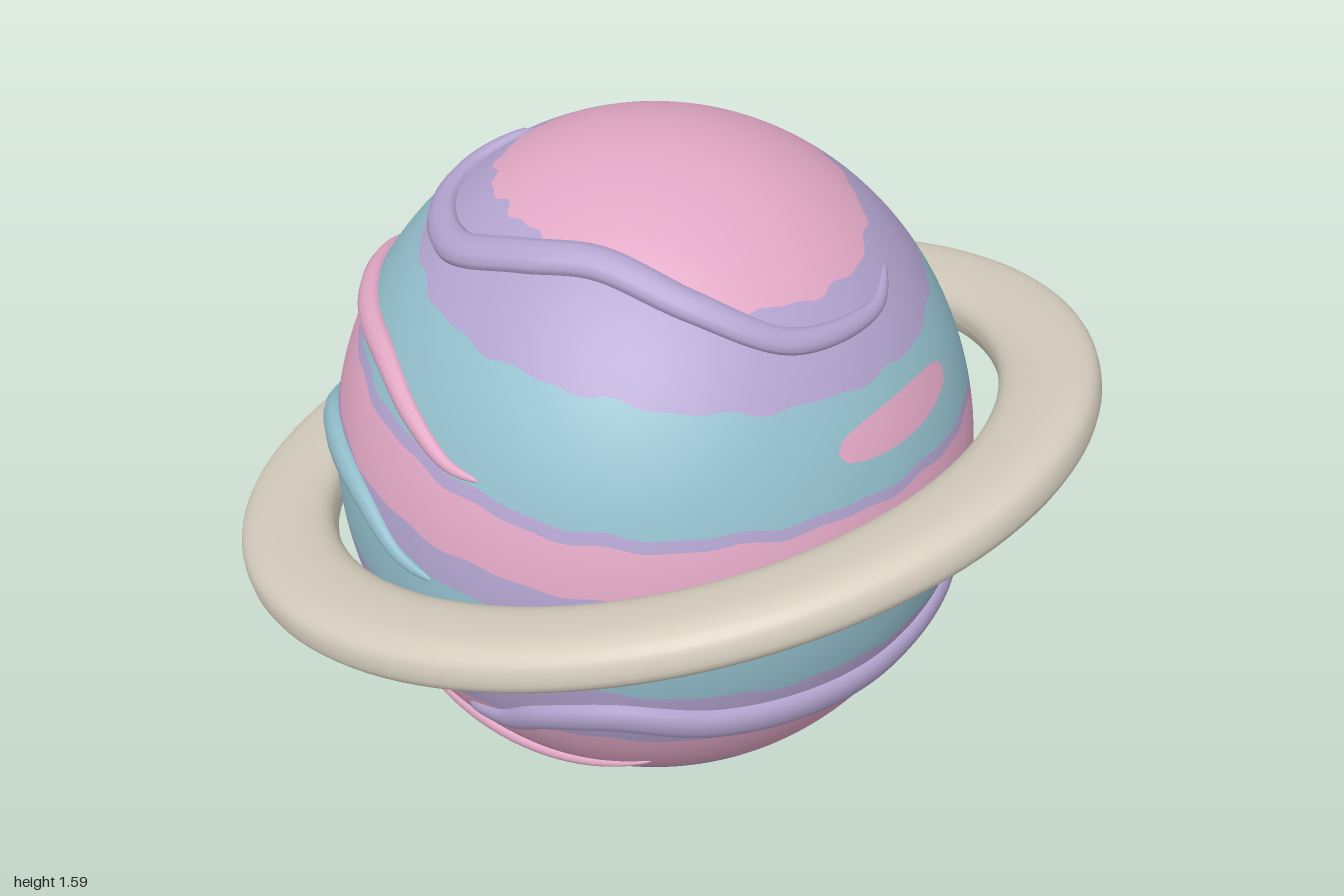
import * as THREE from 'three';

const mat = (name, color) => {
  const m = new THREE.MeshStandardMaterial({ color });
  m.name = name;
  return m;
};
const pink = mat('pink', 0xe2a8c5);
const purple = mat('purple', 0xb2a3ce);
const teal = mat('teal', 0x93bfcc);
const beige = mat('beige', 0xd7cfc0);

// Globe: a slightly tall ellipsoid
const CX = -0.02, CY = 0.8, RH = 0.745, RV = 0.797;
const rad = THREE.MathUtils.degToRad;
const latOf = (y) => Math.asin(THREE.MathUtils.clamp((y - CY) / RV, -1, 1));

// Point and normal on the globe; azimuth 0 is the front, 90 the +x side
function onGlobe(az, lat, lift = 0) {
  const c = Math.cos(lat), s = Math.sin(lat), sx = Math.sin(az), cz = Math.cos(az);
  const normal = new THREE.Vector3(c * sx / RH, s / RV, c * cz / RH).normalize();
  const point = new THREE.Vector3(CX + RH * c * sx, CY + RV * s, RH * c * cz).addScaledVector(normal, lift);
  return { point, normal };
}

// Heights of the colour borders, every 40 degrees of azimuth from -180 to 180.
// The bands wind round the globe, so the end of one border meets the start of another.
const START = -180, STEP = 40;
const borders = [
  [1.47, 1.52, 1.50, 1.50, 1.51, 1.49, 1.43, 1.41, 1.44, 1.44],
  [1.47, 1.44, 1.40, 1.38, 1.345, 1.315, 1.27, 1.245, 1.26, 1.23],
  [1.47, 1.42, 1.26, 1.19, 1.13, 1.065, 1.05, 1.03, 0.99, 0.96],
  [1.47, 1.41, 1.25, 1.165, 1.10, 1.035, 1.025, 1.005, 0.965, 0.89],
  [1.44, 1.31, 1.11, 1.01, 0.945, 0.91, 0.88, 0.85, 0.835, 0.89],
  [1.23, 1.05, 0.93, 0.905, 0.865, 0.81, 0.755, 0.715, 0.67, 0.70],
  [0.96, 0.83, 0.74, 0.71, 0.69, 0.65, 0.615, 0.61, 0.64, 0.70],
  [0.53, 0.58, 0.52, 0.49, 0.47, 0.455, 0.45, 0.45, 0.43, 0.53],
  [0.28, 0.31, 0.31, 0.30, 0.255, 0.245, 0.27, 0.28, 0.22, 0.28],
  [0.25, 0.27, 0.27, 0.25, 0.215, 0.21, 0.235, 0.235, 0.20, 0.25],
];
const bandColours = [pink, purple, teal, purple, pink, purple, teal, purple, pink, purple, teal];

// Border height at an azimuth in degrees, with a small ragged wobble
function sample(values, deg) {
  const t = (deg - START) / STEP;
  const i = Math.min(Math.floor(t), values.length - 2), f = t - i;
  const at = (k) => values[THREE.MathUtils.clamp(k, 0, values.length - 1)];
  const p0 = at(i - 1), p1 = at(i), p2 = at(i + 1), p3 = at(i + 2);
  const y = p1 + 0.5 * f * (p2 - p0 + f * (2 * p0 - 5 * p1 + 4 * p2 - p3 + f * (3 * (p1 - p2) + p3 - p0)));
  const a = rad(deg);
  return y + 0.004 * Math.sin(17 * a) + 0.003 * Math.sin(29 * a + 1);
}
function borderHeight(index, deg) {
  let y = CY + RV;
  for (let k = 0; k <= index; k++) y = Math.min(y, sample(borders[k], deg));
  return y;
}

function surface(pos, idx, nor) {
  const g = new THREE.BufferGeometry();
  g.setAttribute('position', new THREE.Float32BufferAttribute(pos, 3));
  g.setIndex(idx);
  if (nor) g.setAttribute('normal', new THREE.Float32BufferAttribute(nor, 3));
  else g.computeVertexNormals();
  return g;
}

// Strip of globe surface between two height rules
function globeStrip(from, to, cols, rows, top, bottom, lift = 0) {
  const pos = [], nor = [], idx = [];
  for (let i = 0; i <= cols; i++) {
    const deg = from + (to - from) * i / cols;
    const l0 = latOf(top(deg)), l1 = latOf(bottom(deg));
    for (let j = 0; j <= rows; j++) {
      const { point, normal } = onGlobe(rad(deg), l0 + (l1 - l0) * j / rows, lift);
      pos.push(...point.toArray());
      nor.push(...normal.toArray());
      if (i < cols && j < rows) {
        const a = i * (rows + 1) + j, b = a + rows + 1;
        idx.push(a, a + 1, b + 1, a, b + 1, b);
      }
    }
  }
  return surface(pos, idx, nor);
}

// Raised swirl: a tapered oval section swept over the globe through [azimuth, height] points
function swirl(points, width, height) {
  const curve = new THREE.CatmullRomCurve3(points.map(([a, y]) => onGlobe(rad(a), latOf(y)).point));
  const N = 90, M = 12, pos = [], idx = [];
  for (let i = 0; i <= N; i++) {
    const t = i / N;
    const p = curve.getPointAt(t), tangent = curve.getTangentAt(t);
    // Drop the path back onto the globe
    const az = Math.atan2(p.x - CX, p.z);
    const { point, normal } = onGlobe(az, Math.atan2((p.y - CY) / RV, Math.hypot(p.x - CX, p.z) / RH));
    const side = new THREE.Vector3().crossVectors(normal, tangent).normalize();
    const taper = 0.02 + 0.98 * Math.sqrt(Math.max(0, Math.sin(Math.PI * Math.pow(t, 0.7))));
    for (let j = 0; j < M; j++) {
      const a = j / M * Math.PI * 2;
      const q = point.clone().addScaledVector(side, width * taper * Math.cos(a))
        .addScaledVector(normal, height * taper * Math.sin(a));
      pos.push(q.x, q.y, q.z);
      if (i < N) {
        const k = i * M + j, n = i * M + (j + 1) % M;
        idx.push(k, n, k + M, n, n + M, k + M);
      }
    }
  }
  return surface(pos, idx);
}

export function createModel() {
  const model = new THREE.Group();
  model.name = 'ringedPlanet';
  const add = (parent, name, geometry, material) => {
    const mesh = new THREE.Mesh(geometry, material);
    mesh.name = name;
    parent.add(mesh);
    return mesh;
  };

  // Globe, one mesh per colour band
  const globe = new THREE.Group();
  globe.name = 'globe';
  model.add(globe);
  bandColours.forEach((material, k) => {
    const last = bandColours.length - 1;
    const top = (d) => (k === 0 ? CY + RV : borderHeight(k - 1, d));
    const bottom = (d) => (k === last ? CY - RV : borderHeight(k, d));
    add(globe, `band${k + 1}`, globeStrip(START, START + 360, 216, k === 0 || k === last ? 16 : 8, top, bottom), material);
  });

  // Pink spot on the +x side
  const spot = (sign) => (d) => 1.155 + sign * 0.045 * Math.pow(Math.max(0, 1 - ((d - 88) / 18) ** 2), 0.4);
  add(globe, 'spot', globeStrip(70, 106, 24, 4, spot(1), spot(-1), 0.003), pink);

  // Raised swirls
  const swirls = new THREE.Group();
  swirls.name = 'swirls';
  model.add(swirls);
  add(swirls, 'topSwirl', swirl([[-95, 1.5], [-80, 1.44], [-60, 1.42], [-35, 1.43], [-10, 1.48], [15, 1.5],
    [45, 1.45], [68, 1.37], [95, 1.345], [110, 1.37]], 0.042, 0.03), purple);
  add(swirls, 'upperPinkSwirl', swirl([[-92, 1.10], [-78, 1.16], [-49, 1.21], [-31, 1.21], [-16, 1.16],
    [-5, 1.115], [2, 1.11]], 0.036, 0.028), pink);
  add(swirls, 'tealSwirl', swirl([[-92, 0.73], [-78, 0.76], [-63, 0.84], [-49, 0.91], [-35, 0.92], [-25, 0.90],
    [-14, 0.84], [-6, 0.83]], 0.045, 0.032), teal);
  add(swirls, 'lowerPurpleSwirl', swirl([[-6, 0.41], [5, 0.44], [14, 0.51], [28, 0.56], [45, 0.53], [62, 0.52],
    [80, 0.52], [100, 0.55], [120, 0.55], [140, 0.58], [155, 0.55]], 0.05, 0.03), purple);
  add(swirls, 'lowerPinkSwirl', swirl([[-61, 0.38], [-50, 0.37], [-34, 0.32], [-14, 0.265], [2, 0.25],
    [18, 0.265], [34, 0.32]], 0.024, 0.024), pink);
  add(swirls, 'backSwirl', swirl([[-165, 1.35], [-150, 1.2], [-138, 1.06], [-128, 1.03]], 0.022, 0.012), purple);

  // Tilted ring with a rounded, flattened section
  const profile = [];
  const round = (v) => Math.sign(v) * Math.pow(Math.abs(v), 0.75);
  for (let i = 0; i <= 32; i++) {
    const a = Math.PI + i / 32 * Math.PI * 2;
    profile.push(new THREE.Vector2(0.885 + 0.112 * round(Math.cos(a)), 0.064 * round(Math.sin(a))));
  }
  const ring = add(model, 'ring', new THREE.LatheGeometry(profile, 128), beige);
  ring.scale.x = 1.042;
  ring.rotation.z = rad(16.4);
  ring.position.y = 0.81;

  return model;
}
